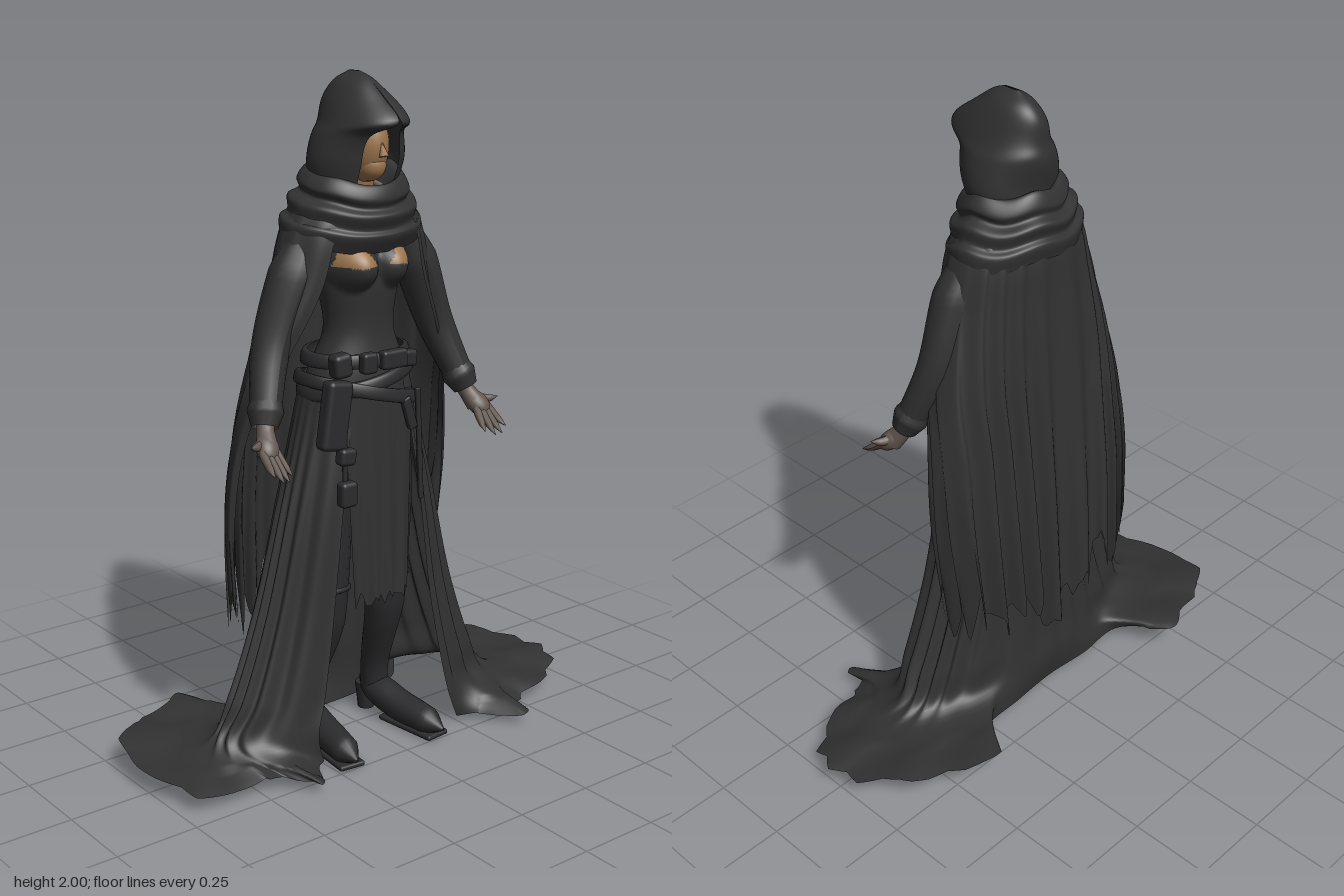
import * as THREE from 'three';
import { mergeVertices } from 'three/addons/utils/BufferGeometryUtils.js';
import { RoundedBoxGeometry } from 'three/addons/geometries/RoundedBoxGeometry.js';

const V = (x, y, z) => new THREE.Vector3(x, y, z);
const mat = (name, color) => {
  const m = new THREE.MeshStandardMaterial({ color, side: THREE.DoubleSide });
  m.name = name;
  return m;
};
const noise = (i) => { const s = Math.sin(i * 127.1 + 31.7) * 43758.545; return s - Math.floor(s); };
// ragged edge: random values joined by straight lines
const ragged = (t) => {
  const i = Math.floor(t);
  return THREE.MathUtils.lerp(noise(i), noise(i + 1), t - i);
};

// grid surface; pick(centre) sends a triangle to the second material group
function sheet(f, nu, nv, pick) {
  const pos = [], lists = [[], []];
  for (let i = 0; i <= nu; i++) for (let j = 0; j <= nv; j++) pos.push(...f(i / nu, j / nv).toArray());
  const at = (k) => V(pos[k * 3], pos[k * 3 + 1], pos[k * 3 + 2]);
  for (let i = 0; i < nu; i++) for (let j = 0; j < nv; j++) {
    const a = i * (nv + 1) + j, b = a + nv + 1;
    for (const t of [[a, a + 1, b], [b, a + 1, b + 1]]) {
      const c = at(t[0]).add(at(t[1])).add(at(t[2])).divideScalar(3);
      lists[pick && pick(c) ? 1 : 0].push(...t);
    }
  }
  let g = new THREE.BufferGeometry();
  g.setAttribute('position', new THREE.Float32BufferAttribute(pos, 3));
  g.setIndex([...lists[0], ...lists[1]]);
  g = mergeVertices(g, 1e-5);
  g.computeVertexNormals();
  if (pick) {
    g.clearGroups();
    g.addGroup(0, lists[0].length, 0);
    g.addGroup(lists[0].length, lists[1].length, 1);
  }
  return g;
}

// cloth from rings [y, half width, front z, back z, half opening in degrees], top to bottom
function drape(rows, nu, nv, { tweak, hem, pick } = {}) {
  const cache = new Map();
  const column = (u) => {
    if (!cache.has(u)) {
      const pts = rows.map(([y, rx, zf, zb, open = 0]) => {
        const a0 = THREE.MathUtils.degToRad(open), a = a0 + (2 * Math.PI - 2 * a0) * u;
        return V(rx * Math.sin(a), y, (zf + zb) / 2 + (zf - zb) / 2 * Math.cos(a));
      });
      if (hem) pts.push(hem(u));
      cache.set(u, new THREE.CatmullRomCurve3(pts));
    }
    return cache.get(u);
  };
  return sheet((u, v) => {
    const p = column(u).getPoint(v);
    if (tweak) tweak(p, u, v);
    return p;
  }, nu, nv, pick);
}

// tapered round limb along a smooth path
function limb(points, radii, steps = 24, sides = 14) {
  const path = new THREE.CatmullRomCurve3(points.map((p) => V(...p)));
  const g = new THREE.TubeGeometry(path, steps, 1, sides);
  const pos = g.attributes.position, p = V();
  for (let k = 0; k < pos.count; k++) {
    const t = Math.floor(k / (sides + 1)) / steps, s = t * (radii.length - 1);
    const i = Math.min(Math.floor(s), radii.length - 2);
    const c = path.getPointAt(t);
    p.fromBufferAttribute(pos, k).sub(c).multiplyScalar(THREE.MathUtils.lerp(radii[i], radii[i + 1], s - i)).add(c);
    pos.setXYZ(k, p.x, p.y, p.z);
  }
  g.computeVertexNormals();
  return g;
}

export function createModel() {
  const cloth = mat('black cloth', 0x313132), leather = mat('dark leather', 0x2b2b2d);
  const skin = mat('skin', 0x9a744c), handSkin = mat('dusty hand', 0x62564f), metal = mat('grey collar', 0x74706c);
  const model = new THREE.Group(), figure = new THREE.Group();
  figure.name = 'figure';
  figure.position.x = -0.04;
  model.add(figure);
  const add = (name, geo, m, pos = [0, 0, 0], scale = [1, 1, 1], rot = [0, 0, 0]) => {
    const mesh = new THREE.Mesh(geo, m);
    mesh.name = name;
    mesh.position.set(...pos);
    mesh.scale.set(...scale);
    mesh.rotation.set(...rot);
    figure.add(mesh);
    return mesh;
  };
  const ball = new THREE.SphereGeometry(1, 24, 16);

  // head, neck and collar
  add('head', ball, skin, [0, 1.8, 0.075], [0.068, 0.11, 0.095]);
  add('jaw', ball, skin, [0, 1.745, 0.115], [0.043, 0.045, 0.05]);
  add('nose', new THREE.ConeGeometry(0.014, 0.045, 8), skin, [0, 1.795, 0.172], [1, 1, 1], [-0.25, 0, 0]);
  add('neck', limb([[0, 1.6, 0.04], [0, 1.68, 0.06], [0, 1.75, 0.07]], [0.055, 0.045, 0.045]), skin);
  add('collar', new THREE.TorusGeometry(0.052, 0.01, 8, 28), metal, [0, 1.685, 0.08], [1, 1, 1], [1.75, 0, 0]);

  // hood with a pointed peak over the face
  add('hood', drape([
    [2.0, 0.004, 0.07, 0.02], [1.975, 0.045, 0.12, -0.03], [1.93, 0.077, 0.185, -0.06, 1],
    [1.87, 0.105, 0.243, -0.075, 3], [1.83, 0.125, 0.195, -0.078, 25], [1.75, 0.145, 0.17, -0.07, 26],
    [1.66, 0.13, 0.14, -0.06, 32],
  ], 96, 48, { tweak: (p, u, v) => { p.z += 0.004 * Math.sin(v * 16 + p.x * 20); } }), cloth);

  // draped cowl round the shoulders
  add('cowl', drape([
    [1.68, 0.08, 0.12, -0.04], [1.74, 0.13, 0.165, -0.08], [1.7, 0.168, 0.185, -0.105], [1.675, 0.16, 0.175, -0.1],
    [1.655, 0.195, 0.195, -0.125], [1.615, 0.2, 0.18, -0.115], [1.6, 0.222, 0.19, -0.13], [1.55, 0.225, 0.165, -0.12],
  ], 120, 56, {
    tweak: (p, u) => {
      const front = Math.max(0, Math.cos(2 * Math.PI * u));
      p.y += -0.045 * front + 0.008 * Math.sin(u * 31) * Math.sin(Math.PI * u);
    },
  }), cloth);

  // bodice with two open skin panels
  const inPanel = (c) => {
    const x = Math.abs(c.x);
    return c.z > 0.08 && c.y > 1.468 + 0.1 * Math.abs(x - 0.08) && x > 0.02 + (c.y - 1.47) * 0.75 && x < 0.13 - (c.y - 1.475) * 0.37 && c.y < 1.57;
  };
  add('bodice', drape([
    [1.66, 0.05, 0.09, 0], [1.6, 0.13, 0.125, -0.04], [1.5, 0.145, 0.15, -0.05], [1.42, 0.132, 0.155, -0.04],
    [1.28, 0.112, 0.145, -0.02], [1.15, 0.16, 0.16, -0.06], [1.0, 0.18, 0.165, -0.08],
  ], 120, 84, {
    pick: inPanel,
    tweak: (p) => {
      if (p.z < 0.06) return;
      const d = Math.hypot(Math.abs(p.x) - 0.07, p.y - 1.465) / 0.07;
      if (d < 1) p.z += 0.05 * (1 - d * d);
    },
  }), [cloth, skin]);

  // torn cape: wraps the arms at the top, hangs in strips at the back
  add('cape', drape([
    [1.68, 0.12, 0.12, -0.07, 35], [1.6, 0.21, 0.17, -0.11, 38], [1.42, 0.27, 0.175, -0.125, 42],
    [1.2, 0.335, 0.16, -0.14, 58], [1.0, 0.375, 0.12, -0.155, 74], [0.7, 0.395, 0.1, -0.18, 80],
    [0.36, 0.375, 0.08, -0.2, 80],
  ], 192, 56, {
    tweak: (p, u, v) => {
      const w = 0.022 * v * Math.sin(u * 88 + 2 * Math.sin(u * 17));
      p.z += w * (0.4 + 0.6 * Math.sin(Math.PI * u));
      p.x *= 1 + w * 0.8;
      const k = Math.max(0, (v - 0.7) / 0.3);
      p.y += k * (0.26 * ragged(u * 46) + 0.08 * ragged(u * 96 + 200) - 0.1 * Math.sin(Math.PI * u));
    },
  }), cloth);

  // long skirt, open in front, with a spreading train on each side
  const hemLine = new THREE.CatmullRomCurve3([
    [0.25, 0.19], [0.32, 0.24], [0.41, 0.35], [0.46, 0.25], [0.6, 0.22], [0.73, 0.12], [0.75, -0.02], [0.7, -0.18],
    [0.56, -0.26], [0.4, -0.33], [0.28, -0.16], [0.12, -0.14], [-0.04, -0.13], [-0.2, -0.14], [-0.33, -0.16],
    [-0.44, -0.34], [-0.56, -0.29], [-0.68, -0.24], [-0.75, -0.05], [-0.7, 0.19], [-0.55, 0.22], [-0.45, 0.23],
    [-0.37, 0.32], [-0.3, 0.21], [-0.26, 0.18],
  ].map(([x, z]) => {
    const train = THREE.MathUtils.smoothstep(Math.abs(x), 0.24, 0.42);
    return V(x + 0.04, THREE.MathUtils.lerp(0.015, 0.065 - 0.1 * z, train), z);
  }));
  add('skirt', drape([
    [1.13, 0.175, 0.175, -0.085, 30], [0.8, 0.255, 0.2, -0.11, 33], [0.45, 0.345, 0.205, -0.125, 32],
    [0.22, 0.435, 0.215, -0.135, 31], [0.11, 0.5, 0.22, -0.145, 30],
  ], 216, 60, {
    hem: (u) => hemLine.getPoint(u),
    tweak: (p, u, v) => {
      const s = 1 + 0.035 * Math.sin(Math.PI * Math.min(1, v * 1.1)) * Math.sin(u * 120 + 2 * Math.sin(u * 23));
      p.x *= s;
      p.z *= s;
      const r = Math.hypot(p.x, p.z);
      if (r > 0.42 && v > 0.9) {
        const j = 1 + 0.9 * (v - 0.9) * (ragged(u * 72) - 0.6);
        p.x *= j;
        p.z *= j;
        p.y += 0.006 * Math.sin(u * 90);
      }
    },
  }), cloth);

  // front panel with torn hem
  add('frontPanel', sheet((u, v) => {
    const x = (u - 0.5) * THREE.MathUtils.lerp(0.25, 0.2, v);
    const y = 1.1 - 0.65 * v + (v > 0.9 ? (v - 0.9) * 0.6 * ragged(u * 16) : 0);
    return V(x + 0.01 * v, y, 0.18 - 1.6 * x * x + 0.006 * v * Math.sin(u * 24));
  }, 48, 24), cloth);

  // belts, one level and one slung low
  for (const [name, y, tilt, size] of [['belt', 1.2, 0, 0], ['slungBelt', 1.1, -0.25, 0.02], ['lowerBelt', 1.14, 0.2, 0.012]]) {
    add(name, drape([
      [y + 0.02, 0.15 + size, 0.165 + size, -0.065 - size], [y + 0.018, 0.165 + size, 0.178 + size, -0.08 - size],
      [y - 0.018, 0.172 + size, 0.182 + size, -0.085 - size], [y - 0.02, 0.155 + size, 0.165 + size, -0.07 - size],
    ], 64, 9, { tweak: (p) => { p.y += tilt * p.x; } }), leather);
  }
  // pouches [x, y, z, width, height, depth, roll]
  [[0.03, 1.2, 0.185, 0.09, 0.055, 0.035, 0], [-0.06, 1.2, 0.185, 0.05, 0.06, 0.035, 0], [-0.14, 1.2, 0.16, 0.06, 0.07, 0.05, 0.1],
    [0.1, 1.19, 0.165, 0.05, 0.05, 0.04, -0.1], [-0.165, 1.06, 0.165, 0.085, 0.2, 0.05, -0.15],
    [-0.14, 0.94, 0.185, 0.055, 0.05, 0.04, -0.1], [-0.14, 0.83, 0.19, 0.055, 0.075, 0.04, 0],
    [-0.14, 0.95, 0.18, 0.014, 0.28, 0.012, 0], [0.13, 0.93, 0.185, 0.016, 0.34, 0.012, 0.05],
    [0.09, 1.03, 0.185, 0.03, 0.1, 0.02, 0.3]].forEach(([x, y, z, w, h, d, roll]) =>
    add('pouch', new RoundedBoxGeometry(w, h, d, 3, Math.min(w, d) * 0.3), leather, [x, y, z], [1, 1, 1], [0, 0, roll]));

  for (const s of [-1, 1]) {
    const side = s > 0 ? 'left' : 'right';
    const at = (list) => list.map(([x, y, z]) => [s * x, y, z]);
    // sleeve and gathered cuff
    add(side + 'Sleeve', limb(at([[0.15, 1.57, 0.04], [0.22, 1.45, 0.045], [0.3, 1.25, 0.05], [0.365, 1.06, 0.11]]),
      [0.05, 0.068, 0.06, 0.052, 0.042]), cloth);
    add(side + 'Cuff', limb(at([[0.34, 1.13, 0.085], [0.355, 1.09, 0.1], [0.37, 1.05, 0.115]]), [0.04, 0.053, 0.038], 10), cloth);

    // open hand
    add(side + 'Wrist', limb(at([[0.355, 1.08, 0.1], [0.37, 1.04, 0.12], [0.385, 1.0, 0.15]]), [0.028, 0.026, 0.032], 10), handSkin);
    add(side + 'Palm', ball, handSkin, [s * 0.387, 1.003, 0.152], [0.034, 0.046, 0.028], [-0.75, 0, s * 0.3]);
    [[0.355, 0.935, 0.225], [0.378, 0.925, 0.245], [0.4, 0.928, 0.25], [0.423, 0.945, 0.24]].forEach(([x, y, z], i) => {
      const bx = 0.37 + i * 0.014;
      add(side + 'Finger', limb(at([[bx, 0.995, 0.165], [(bx + x) / 2, (0.995 + y) / 2 - 0.004, (0.165 + z) / 2], [x, y, z]]),
        [0.013, 0.012, 0.01, 0.001], 10, 8), handSkin);
    });
    add(side + 'Thumb', limb(at([[0.395, 1.015, 0.14], [0.425, 1.012, 0.155], [0.452, 1.018, 0.17]]), [0.015, 0.014, 0.011, 0.001], 10, 8), handSkin);

    // leg and boot
    add(side + 'Leg', limb(at([[0.09, 1.05, 0.04], [0.11, 0.8, 0.06], [0.112, 0.5, 0.07]]), [0.085, 0.075, 0.055]), leather);
    add(side + 'BootShaft', limb(at([[0.112, 0.52, 0.07], [0.115, 0.35, 0.035], [0.13, 0.18, -0.02], [0.135, 0.08, -0.03]]),
      [0.058, 0.062, 0.052, 0.045, 0.042]), leather);
    add(side + 'BootCuff', new THREE.TorusGeometry(0.057, 0.009, 8, 24), leather, [s * 0.112, 0.5, 0.066], [1, 1, 1], [1.4, 0, 0]);
    add(side + 'Foot', limb(at([[0.135, 0.1, -0.09], [0.137, 0.085, -0.03], [0.145, 0.058, 0.08], [0.158, 0.045, 0.19], [0.166, 0.036, 0.27]]),
      [0.012, 0.046, 0.05, 0.048, 0.046, 0.042, 0.004], 28), leather);
    add(side + 'Sole', new RoundedBoxGeometry(0.085, 0.016, 0.22, 3, 0.007), leather, [s * 0.154, 0.009, 0.14], [1, 1, 1], [0, s * 0.1, 0]);
    add(side + 'Heel', new THREE.CylinderGeometry(0.035, 0.026, 0.085, 14), leather, [s * 0.135, 0.0425, -0.07]);
  }
  return model;
}
